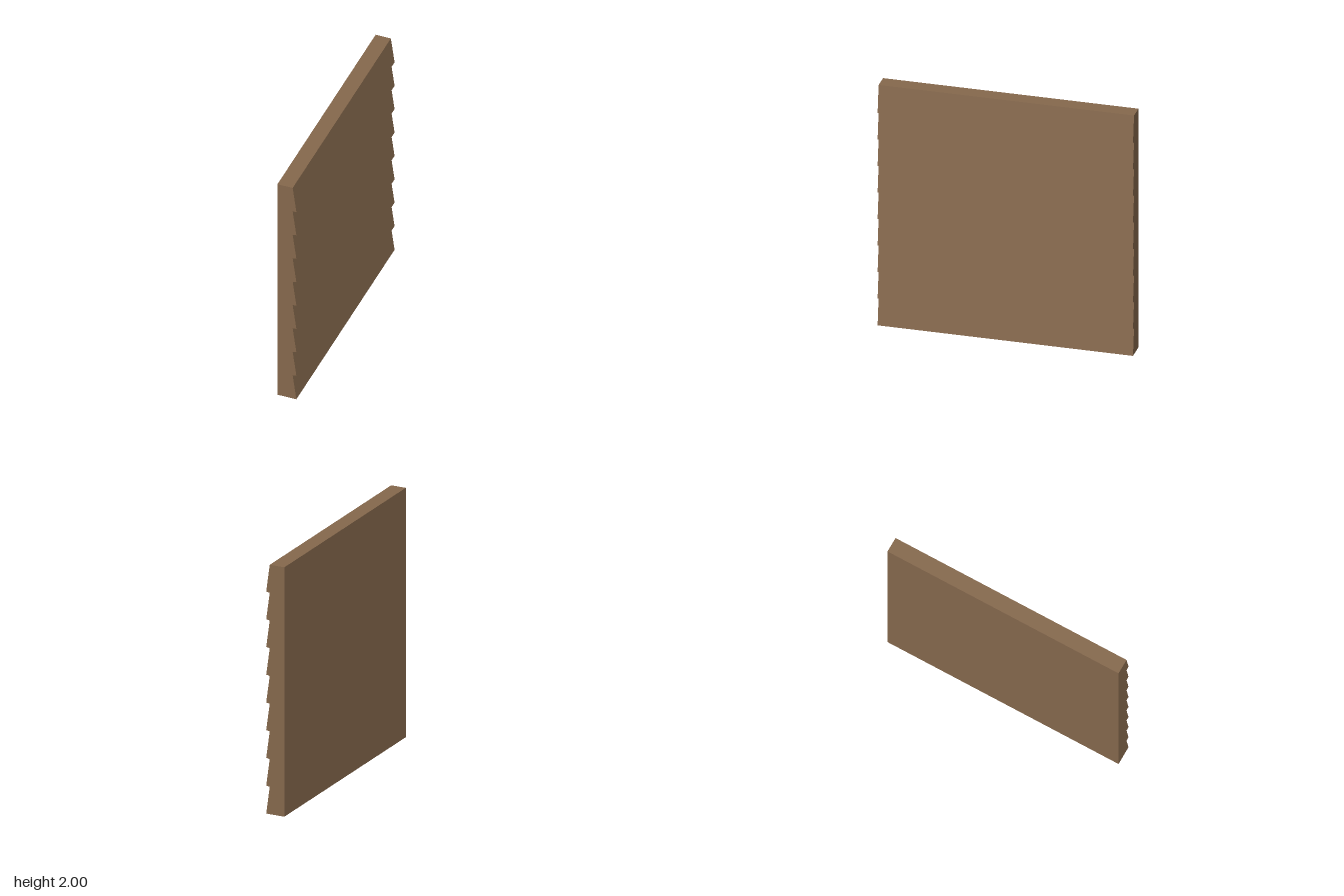
import * as THREE from 'three';

const HALF = 0.077;    // half of the full thickness
const INNER = 0.047;   // front plane of the backing, where each board's top edge meets it
const COUNT = 9;
const PITCH = 2 / COUNT;
const DROP = 0.003;    // slight slope of each board's lower lip

export function createModel() {
  const group = new THREE.Group();
  group.name = 'clapboardWall';

  const wood = new THREE.MeshStandardMaterial({ color: 0x86694d });
  wood.name = 'brown wood';

  // Flat backing panel
  const backing = new THREE.Mesh(new THREE.BoxGeometry(INNER + HALF, 2, 2), wood);
  backing.name = 'backingPanel';
  backing.position.set((INNER - HALF) / 2, 1, 0);
  group.add(backing);

  // Overlapping siding boards, each a wedge that is thickest at its lower edge
  for (let i = 0; i < COUNT; i++) {
    const bottom = i * PITCH;
    const top = bottom + PITCH;
    const lip = i === 0 ? 0 : DROP;
    const profile = new THREE.Shape([
      new THREE.Vector2(INNER, bottom - lip),
      new THREE.Vector2(HALF, bottom + lip),
      new THREE.Vector2(INNER, i === COUNT - 1 ? top : top - DROP),
    ]);
    const geometry = new THREE.ExtrudeGeometry(profile, { depth: 2, bevelEnabled: false });
    geometry.translate(0, 0, -1);
    const board = new THREE.Mesh(geometry, wood);
    board.name = `sidingBoard${i + 1}`;
    group.add(board);
  }
  return group;
}
